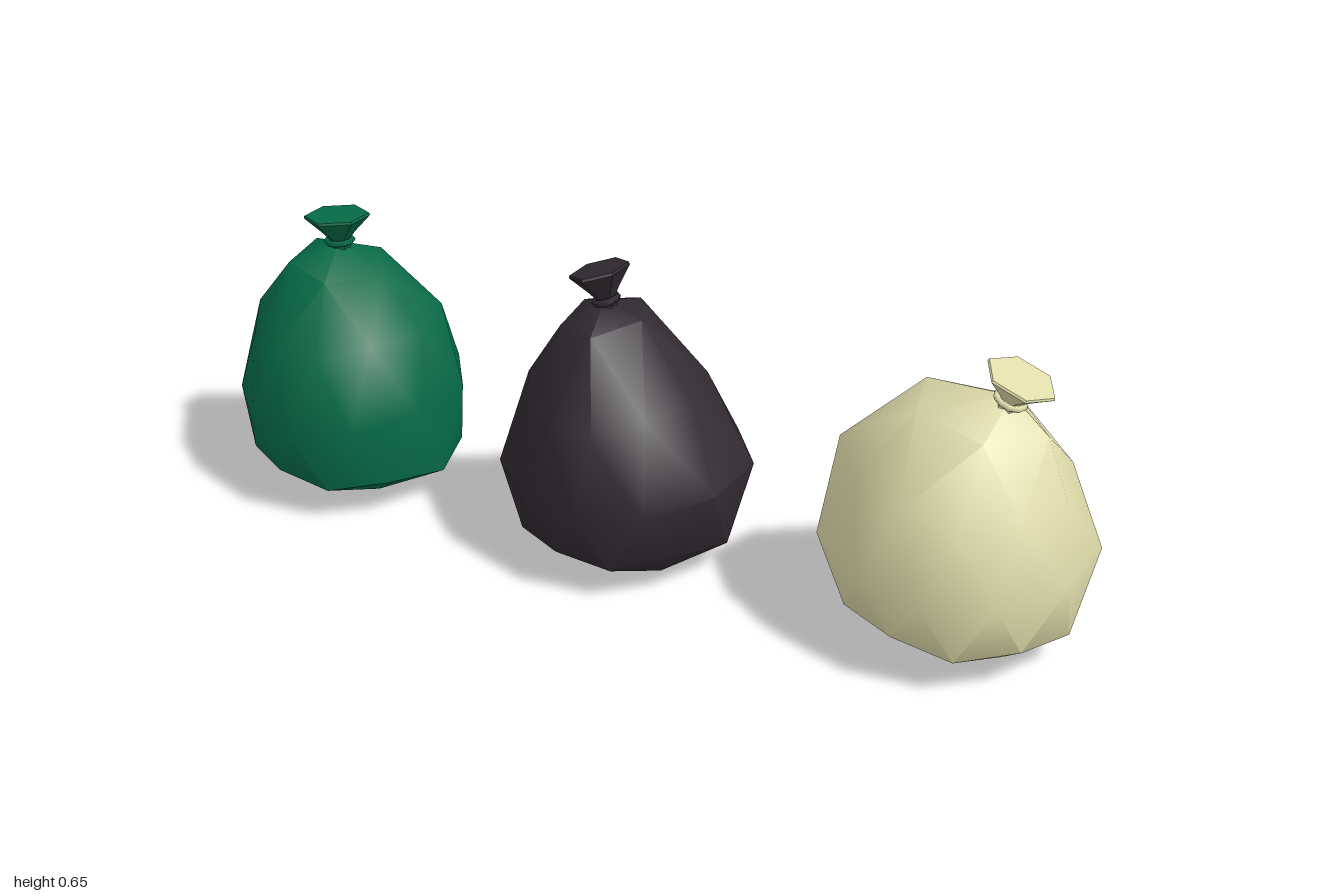
import * as THREE from 'three';
import { toCreasedNormals } from 'three/addons/utils/BufferGeometryUtils.js';

// Depth of each level, top pole to bottom pole: [centre z, radius z, rise towards +z]
const DEPTH = [
  [0, 0, 0], [0.005, 0.118, -0.003], [0.01, 0.22, -0.012], [0, 0.263, -0.014],
  [0, 0.235, 0.005], [0, 0.14, 0.01], [0, 0, 0],
];

// Levels of each bag, top to bottom: [y, centre x, radius x, rise towards +x]
const BAGS = [
  {
    name: 'greenBag', color: 0x056b47,
    levels: [
      [0.575, -0.725, 0, 0], [0.53, -0.732, 0.122, -0.01], [0.405, -0.73, 0.22, 0.01],
      [0.23, -0.735, 0.272, 0.02], [0.083, -0.732, 0.256, -0.01], [0.034, -0.74, 0.18, -0.008],
      [0.022, -0.77, 0, 0],
    ],
    neck: { at: [-0.724, 0.575, 0], tilt: 0.06, twist: 0, scale: [1.05, 1.04, 1] },
  },
  {
    name: 'blackBag', color: 0x302930,
    levels: [
      [0.57, -0.06, 0, 0], [0.537, -0.064, 0.094, 0.008], [0.385, -0.045, 0.195, 0.01],
      [0.21, -0.03, 0.288, 0.02], [0.073, -0.025, 0.257, 0.005], [0.015, -0.01, 0.16, 0],
      [0.012, -0.07, 0, 0],
    ],
    neck: { at: [-0.055, 0.57, 0], tilt: 0.25, twist: 0, scale: [0.87, 1.17, 1.04] },
  },
  {
    name: 'creamBag', color: 0xe0dcab,
    levels: [
      [0.555, 0.82, 0, 0], [0.507, 0.751, 0.149, -0.018], [0.385, 0.715, 0.236, -0.01],
      [0.22, 0.715, 0.292, 0.01], [0.084, 0.718, 0.257, -0.01], [0.034, 0.725, 0.18, -0.004],
      [0.022, 0.68, 0, 0],
    ],
    neck: { at: [0.82, 0.548, 0.012], tilt: -0.36, twist: 0.5, scale: [1.05, 0.92, 1.08] },
  },
];

// Faceted sphere standing on a corner, so its corners fall into seven levels
function bodyGeometry(levels) {
  const geo = new THREE.IcosahedronGeometry(1, 1);
  geo.rotateX(-Math.atan2((1 + Math.sqrt(5)) / 2, 1));
  geo.rotateY(Math.PI / 2);
  geo.deleteAttribute('uv');
  const pos = geo.attributes.position;
  for (let i = 0; i < pos.count; i++) {
    const h = pos.getY(i);
    const a = Math.abs(h);
    const step = a > 0.95 ? 3 : a > 0.7 ? 2 : a > 0.2 ? 1 : 0;
    const level = 3 - Math.sign(h) * step;
    const angle = Math.atan2(pos.getZ(i), pos.getX(i));
    const c = Math.cos(angle), s = Math.sin(angle);
    const [y, cx, rx, riseX] = levels[level];
    const [cz, rz, riseZ] = DEPTH[level];
    // front half is narrower and pushed towards +x
    const across = s > 0 ? c * (1 - 0.2 * s) + 0.15 * s : c * (1 - 0.08 * s);
    // every other corner beside the middle level sits nearer to it
    const zigzag = step === 1 && a < 0.48 ? -0.014 * Math.sign(h) : 0;
    pos.setXYZ(i,
      cx + rx * across,
      y + zigzag + (step < 3 ? c * riseX + s * riseZ : 0),
      cz + s * rz);
  }
  return toCreasedNormals(geo, 0.75);
}

// Flared six-sided gathered end with a flat top
function neckGeometry() {
  const profile = [[0.022, -0.02], [0.022, 0.006], [0.034, 0.02], [0.07, 0.055], [0.068, 0.06], [0, 0.06]];
  const geo = new THREE.LatheGeometry(profile.map(([r, y]) => new THREE.Vector2(r, y)), 6);
  geo.deleteAttribute('uv');
  return toCreasedNormals(geo, 0.3);
}

function makeBag({ name, color, levels, neck }) {
  const bag = new THREE.Group();
  bag.name = name;
  const material = new THREE.MeshStandardMaterial({ color, side: THREE.DoubleSide });

  const body = new THREE.Mesh(bodyGeometry(levels), material);
  body.name = 'sackBody';

  const top = new THREE.Group();
  top.name = 'tiedTop';
  top.position.set(...neck.at);
  top.rotation.z = neck.tilt;
  top.scale.set(...neck.scale);

  const end = new THREE.Mesh(neckGeometry(), material);
  end.name = 'gatheredEnd';
  end.rotation.y = neck.twist;
  const tie = new THREE.Mesh(new THREE.TorusGeometry(0.027, 0.007, 5, 10), material);
  tie.name = 'tie';
  tie.rotation.x = Math.PI / 2;
  tie.position.y = 0.003;
  top.add(end, tie);

  bag.add(body, top);
  return bag;
}

export function createModel() {
  const model = new THREE.Group();
  model.name = 'garbageBags';
  BAGS.forEach((spec) => model.add(makeBag(spec)));
  return model;
}
